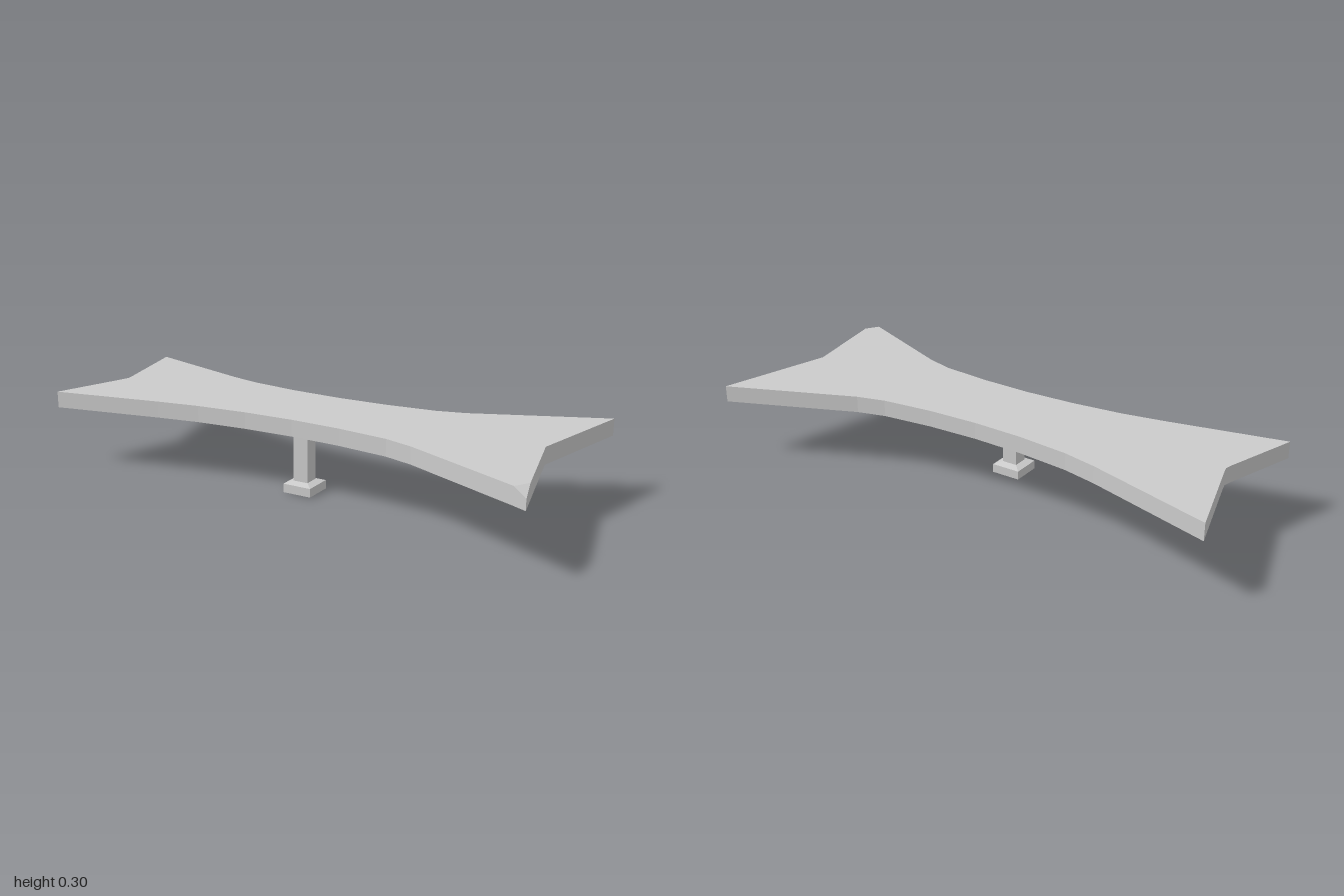
import * as THREE from 'three';

const material = new THREE.MeshStandardMaterial({ color: 0xcccccc, flatShading: true });

// Slab outline as [x, z]; the last point is the chipped corner
const outline = [
  [0.983, 0.365], [0.907, 0.03], [0.9, 0], [0.907, -0.03], [1, -0.445],
  [0.51, -0.235], [0.4, -0.205], [0.2, -0.183], [0, -0.176], [-0.2, -0.183], [-0.4, -0.205], [-0.53, -0.235],
  [-1, -0.375], [-0.907, -0.03], [-0.9, 0], [-0.907, 0.03], [-1, 0.316],
  [-0.57, 0.227], [-0.4, 0.197], [-0.2, 0.177], [0, 0.17], [0.2, 0.177], [0.4, 0.198], [0.51, 0.23],
  [0.95, 0.418], [1, 0.441],
];

// Flat slab whose last outline point has a lowered top
function slabGeometry(ring, bottom, top, chipTop) {
  const n = ring.length;
  const low = ring.map(([x, z]) => [x, bottom, z]);
  const high = ring.map(([x, z], i) => [x, i === n - 1 ? chipTop : top, z]);
  const positions = [];
  const face = (a, b, c) => positions.push(...a, ...b, ...c);

  // Top and bottom caps, with the chip as its own triangle
  const caps = THREE.ShapeUtils.triangulateShape(ring.slice(0, -1).map(([x, z]) => new THREE.Vector2(x, z)), []);
  caps.push([n - 2, n - 1, 0]);
  for (let [a, b, c] of caps) {
    const [p, q, r] = [ring[a], ring[b], ring[c]];
    const up = (q[1] - p[1]) * (r[0] - p[0]) - (q[0] - p[0]) * (r[1] - p[1]);
    if (up < 0) [b, c] = [c, b];
    face(high[a], high[b], high[c]);
    face(low[a], low[c], low[b]);
  }

  // Side walls
  for (let i = 0; i < n; i++) {
    const j = (i + 1) % n;
    face(low[i], low[j], high[j]);
    face(low[i], high[j], high[i]);
  }

  const geometry = new THREE.BufferGeometry();
  geometry.setAttribute('position', new THREE.Float32BufferAttribute(positions, 3));
  geometry.computeVertexNormals();
  return geometry;
}

// Square block, optionally tapered, between two heights
function squareBlock(name, halfBottom, halfTop, y0, y1) {
  const geometry = new THREE.CylinderGeometry(
    halfTop * Math.SQRT2, halfBottom * Math.SQRT2, y1 - y0, 4, 1, false, Math.PI / 4);
  const mesh = new THREE.Mesh(geometry, material);
  mesh.name = name;
  mesh.position.y = (y0 + y1) / 2;
  return mesh;
}

export function createModel() {
  const model = new THREE.Group();
  model.name = 'slabOnPost';

  const slab = new THREE.Mesh(slabGeometry(outline, 0.236, 0.3, 0.275), material);
  slab.name = 'slab';

  // Post and foot, set forward of the centre
  const support = new THREE.Group();
  support.name = 'support';
  support.position.set(0.001, 0, 0.081);
  support.add(
    squareBlock('foot', 0.058, 0.058, 0, 0.034),
    squareBlock('footBevel', 0.058, 0.03, 0.034, 0.043),
    squareBlock('post', 0.03, 0.03, 0.043, 0.236),
  );

  model.add(slab, support);
  return model;
}
